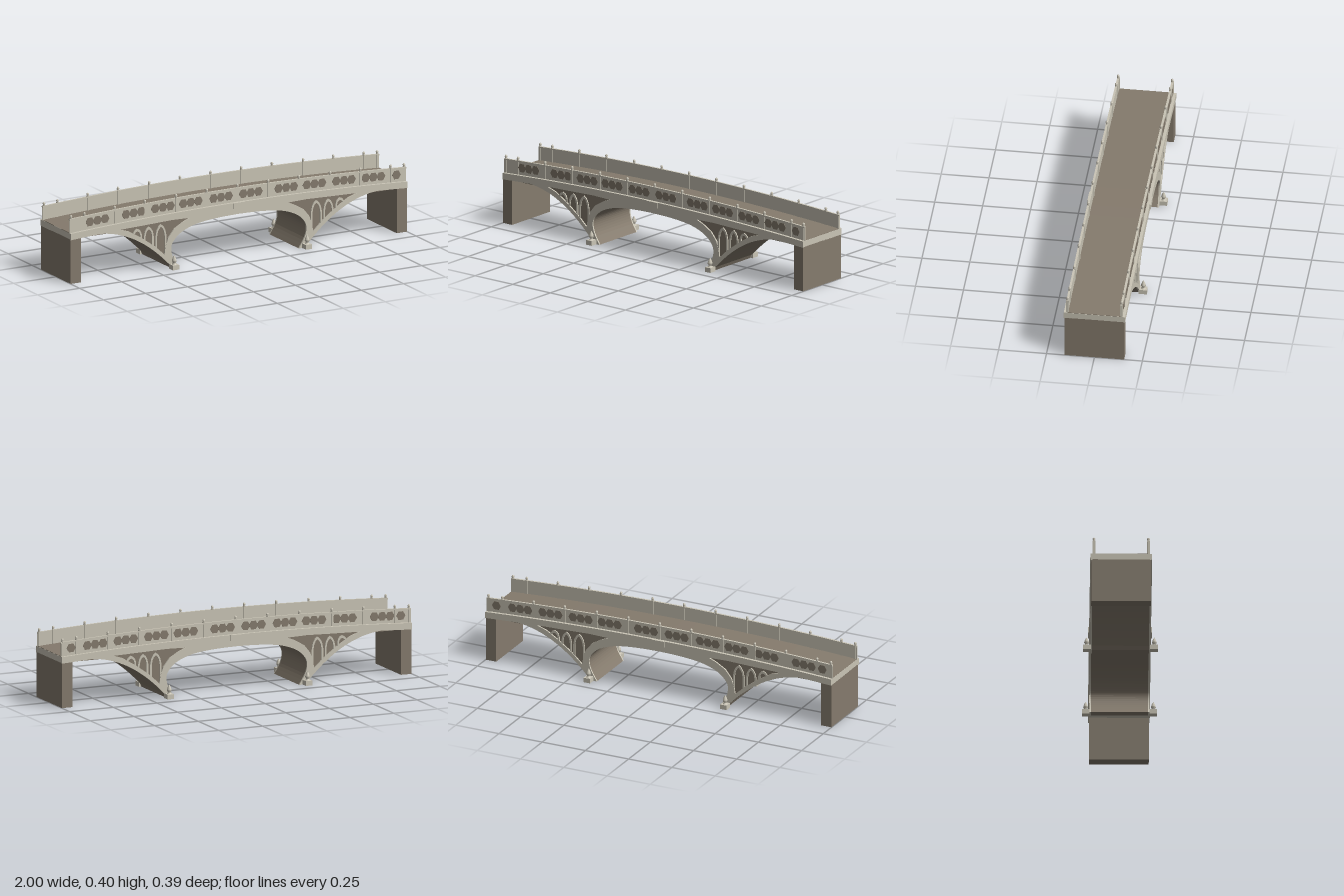
import * as THREE from 'three';

const stone = new THREE.MeshStandardMaterial({ color: 0xcac5b6 });
stone.name = 'pale stone';
const brown = new THREE.MeshStandardMaterial({ color: 0x857b6d });
brown.name = 'brown stone';

const V = (x, y) => new THREE.Vector2(x, y);
const deckTop = (x) => 0.3 - 0.03 * x * x;
const deckBottom = (x) => deckTop(x) - 0.034;
const sideArch = (x) => 0.247 - 0.227 * Math.pow(Math.abs(0.88 - x) / 0.47, 2.2);
const mirror = (pts) => pts.map((p) => V(-p.x, p.y)).reverse();

// sample a function of x
function sample(f, a, b, n) {
  return Array.from({ length: n + 1 }, (_, i) => {
    const x = a + ((b - a) * i) / n;
    return V(x, f(x));
  });
}

export function createModel() {
  const model = new THREE.Group();

  const add = (name, geo, mat, x = 0, y = 0, z = 0) => {
    const m = new THREE.Mesh(geo, mat);
    m.name = name;
    m.position.set(x, y, z);
    model.add(m);
    return m;
  };
  const box = (name, mat, w, h, d, x, y, z) => add(name, new THREE.BoxGeometry(w, h, d), mat, x, y, z);
  // extrude an outline from z0 to z1
  const slab = (name, mat, pts, z0, z1, holes = []) => {
    const s = new THREE.Shape(pts);
    holes.forEach((h) => s.holes.push(new THREE.Path(h)));
    const g = new THREE.ExtrudeGeometry(s, { depth: z1 - z0, bevelEnabled: false });
    g.translate(0, 0, z0);
    return add(name, g, mat);
  };
  // same outline on the front and the back
  const bothSides = (name, mat, pts, z0, z1, holes) => {
    slab(name, mat, pts, z0, z1, holes);
    slab(name, mat, pts, -z1, -z0, holes);
  };
  // band following the camber of the deck
  const band = (low, high, a = -1, b = 1) => [
    ...sample((x) => deckTop(x) + low, a, b, 24),
    ...sample((x) => deckTop(x) + high, b, a, 24),
  ];

  // arch silhouette, right half then mirrored
  const crown = new THREE.SplineCurve([
    V(0, 0.237), V(0.13, 0.233), V(0.25, 0.219), V(0.34, 0.187),
    V(0.388, 0.145), V(0.402, 0.105), V(0.39, 0.055), V(0.357, 0),
  ]).getPoints(28);
  const half = [
    ...crown,
    V(0.4, 0),
    ...sample(sideArch, 0.41, 0.94, 18),
    V(1, 0.235),
  ];
  const outline = [
    ...half,
    ...sample((x) => deckBottom(x) + 0.002, 1, -1, 24),
    ...mirror(half).slice(0, -1),
  ];
  slab('archBody', brown, outline, -0.148, 0.148);

  // pale arch faces with open spandrels
  const spandrel = [
    V(0.705, 0.25), V(0.65, 0.232), V(0.58, 0.19), V(0.5, 0.133), V(0.442, 0.08),
    V(0.436, 0.12), V(0.42, 0.165), V(0.385, 0.208), V(0.33, 0.24), V(0.29, 0.256),
    V(0.4, 0.259), V(0.55, 0.254),
  ];
  bothSides('archFace', stone, outline, 0.148, 0.156, [spandrel, mirror(spandrel)]);

  // pointed tracery in the spandrels
  const lancet = (c, w, spring, top, t) => {
    const l = c - w / 2, r = c + w / 2;
    const foot = (x) => sideArch(x) + 0.012;
    const pointed = (a, b, s, p) => [
      V(a, s), V(a + (c - a) * 0.2, s + (p - s) * 0.5), V(a + (c - a) * 0.55, s + (p - s) * 0.82), V(c, p),
      V(b - (b - c) * 0.55, s + (p - s) * 0.82), V(b - (b - c) * 0.2, s + (p - s) * 0.5), V(b, s),
    ];
    return [
      V(l, foot(l)), ...pointed(l, r, spring, top), V(r, foot(r)), V(r - t, foot(r - t)),
      ...pointed(l + t, r - t, spring, top - t * 1.4).reverse(), V(l + t, foot(l + t)),
    ];
  };
  [[0.462, 0.066, 0.18, 0.245], [0.534, 0.06, 0.185, 0.243], [0.603, 0.056, 0.205, 0.24]].forEach(([c, w, s, p]) => {
    const pts = lancet(c, w, s, p, 0.01);
    bothSides('spandrelTracery', stone, pts, 0.147, 0.154);
    bothSides('spandrelTracery', stone, mirror(pts), 0.147, 0.154);
  });

  // deck, road and parapets
  slab('deck', stone, band(-0.034, 0), -0.16, 0.16);
  slab('road', brown, band(-0.002, 0.002, -0.999, 0.999), -0.137, 0.137);
  bothSides('parapet', stone, band(-0.002, 0.073), 0.137, 0.145);
  bothSides('coping', stone, band(0.068, 0.075), 0.136, 0.147);
  [1, -1].forEach((s) => box('centrePlaque', stone, 0.075, 0.03, 0.006, 0, 0.285, s * 0.162));

  // hexagonal panels, dark plates on the outer parapet faces
  const hex = new THREE.CylinderGeometry(0.0255, 0.0255, 0.004, 6).rotateX(Math.PI / 2).rotateZ(Math.PI / 2);
  const groups = [-0.835, -0.62, -0.446, -0.28, -0.1, 0.077, 0.287, 0.455, 0.63, 0.805];
  [1, -1].forEach((s) => {
    const xs = groups.flatMap((c) => [c - 0.045, c, c + 0.045]).concat(0.942);
    if (s < 0) xs.push(-0.942);
    xs.forEach((x) => add('hexPanel', hex, brown, x, deckTop(x) + 0.038, s * 0.145));
  });

  // parapet posts with rounded finials
  const finial = new THREE.LatheGeometry(
    [V(0.006, 0), V(0.0075, 0.003), V(0.005, 0.006), V(0.0075, 0.011), V(0.006, 0.017), V(0, 0.021)], 8);
  [-0.99, -0.91, -0.73, -0.55, -0.365, -0.182, 0, 0.182, 0.365, 0.55, 0.73, 0.91, 0.99].forEach((x) => {
    [1, -1].forEach((s) => {
      box('post', stone, 0.011, 0.075, 0.014, x, deckTop(x) + 0.038, s * 0.141);
      add('postFinial', finial, stone, x, deckTop(x) + 0.075, s * 0.141);
    });
  });

  // abutments, pier footings and pinnacles
  const pinnacle = new THREE.LatheGeometry(
    [V(0.013, 0), V(0.008, 0.006), V(0.008, 0.01), V(0.013, 0.018), V(0.012, 0.024), V(0.007, 0.038), V(0, 0.05)], 8);
  [1, -1].forEach((sx) => {
    box('abutment', brown, 0.06, 0.238, 0.31, sx * 0.969, 0.119, 0);
    [1, -1].forEach((sz) => {
      box('footing', stone, 0.037, 0.025, 0.042, sx * 0.395, 0.0125, sz * 0.174);
      add('pinnacle', pinnacle, stone, sx * 0.395, 0.025, sz * 0.175);
    });
  });

  return model;
}
